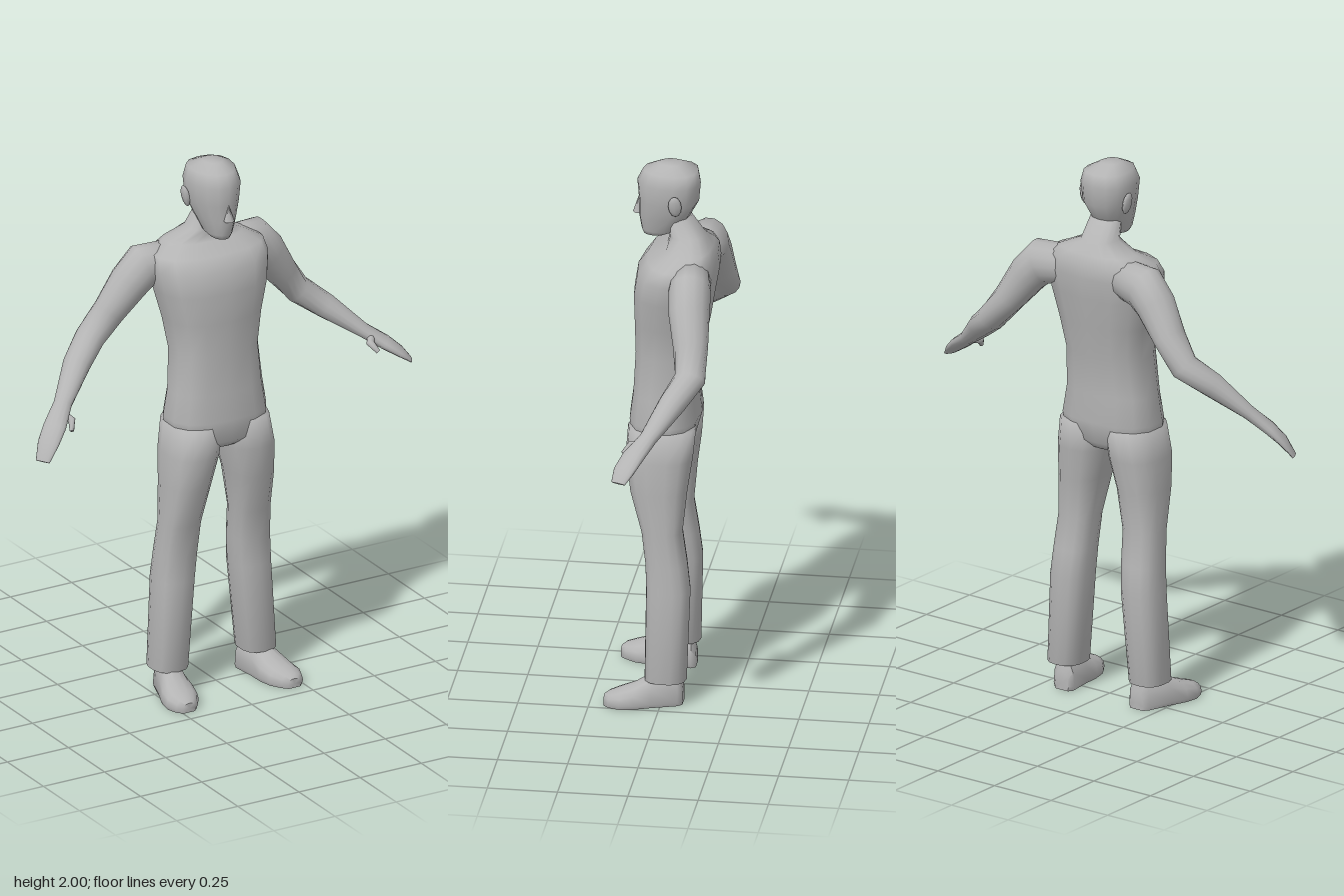
import * as THREE from 'three';
import { toCreasedNormals } from 'three/addons/utils/BufferGeometryUtils.js';

const SIDES = 14;
const CX = -0.01; // body midline
const V = (x, y, z) => new THREE.Vector3(x, y, z);
const pow = (v, e) => Math.sign(v) * Math.abs(v) ** e;

// Closed skin over a list of rings, each turning counter-clockwise about the direction of travel
function skin(rings) {
  const n = rings[0].length, pos = [], idx = [];
  rings.forEach(r => r.forEach(p => pos.push(p.x, p.y, p.z)));
  for (let i = 0; i < rings.length - 1; i++) {
    for (let j = 0; j < n; j++) {
      const a = i * n + j, b = i * n + (j + 1) % n;
      idx.push(a, b, b + n, a, b + n, a + n);
    }
  }
  [0, rings.length - 1].forEach((k, end) => {
    const c = V(0, 0, 0);
    rings[k].forEach(p => c.addScaledVector(p, 1 / n));
    const ci = pos.length / 3;
    pos.push(c.x, c.y, c.z);
    for (let j = 0; j < n; j++) {
      const a = k * n + j, b = k * n + (j + 1) % n;
      if (end) idx.push(ci, a, b); else idx.push(ci, b, a);
    }
  });
  const g = new THREE.BufferGeometry();
  g.setAttribute('position', new THREE.Float32BufferAttribute(pos, 3));
  g.setIndex(idx);
  g.computeVertexNormals();
  return g;
}

const angles = Array.from({ length: SIDES }, (_, j) => (j / SIDES) * Math.PI * 2);

// Level ring: height, centre x, half width, front z, back z, squareness, narrowing to the front
function levelRing(y, cx, hw, zf, zb, e = 0.8, narrow = 0) {
  return angles.map(t => V(
    CX + cx + hw * pow(Math.sin(t), e) * (1 - narrow * Math.cos(t)),
    y,
    (zf + zb) / 2 + (zf - zb) / 2 * pow(Math.cos(t), e)));
}

// Limb along a path of [x, y, z, half width, half thickness]
function limb(path, s) {
  const pts = path.map(p => V(CX + s * p[0], p[1], p[2]));
  return skin(path.map((p, i) => {
    const d = pts[Math.min(i + 1, pts.length - 1)].clone().sub(pts[Math.max(i - 1, 0)]).normalize();
    const b = d.clone().cross(V(0, 1, 0)).normalize();
    const n = d.clone().cross(b);
    return angles.map(t => pts[i].clone()
      .addScaledVector(b, p[3] * Math.cos(t))
      .addScaledVector(n, p[4] * Math.sin(t)));
  }));
}

export function createModel() {
  const grey = new THREE.MeshStandardMaterial({ color: 0xb4b4b4 });
  grey.name = 'plain grey';
  const model = new THREE.Group();
  model.name = 'figure';
  const add = (name, geo) => {
    const m = new THREE.Mesh(geo, grey);
    m.name = name;
    model.add(m);
    return m;
  };

  // Torso and neck: height, half width, front z, back z
  add('torso', skin([
    [0.94, 0.09, 0.10, -0.07],
    [0.97, 0.185, 0.13, -0.098],
    [1.05, 0.192, 0.135, -0.12],
    [1.15, 0.177, 0.122, -0.107],
    [1.30, 0.164, 0.115, -0.125],
    [1.42, 0.183, 0.118, -0.15],
    [1.53, 0.212, 0.12, -0.168],
    [1.61, 0.225, 0.107, -0.182],
    [1.66, 0.215, 0.07, -0.175],
    [1.692, 0.15, 0.005, -0.16],
    [1.73, 0.066, -0.005, -0.13],
    [1.80, 0.058, 0.01, -0.08],
  ].map(([y, hw, zf, zb]) => levelRing(y, 0, hw, zf, zb))));

  // Head: same columns
  add('head', skin([
    [1.728, 0.032, 0.088, 0.01],
    [1.745, 0.047, 0.096, -0.03],
    [1.80, 0.066, 0.106, -0.075],
    [1.86, 0.087, 0.106, -0.108],
    [1.93, 0.094, 0.112, -0.114],
    [1.975, 0.08, 0.09, -0.106],
    [2.0, 0.035, 0.035, -0.045],
  ].map(([y, hw, zf, zb]) => levelRing(y, 0, hw, zf, zb, 0.9, 0.15))));

  const nose = add('nose', new THREE.ConeGeometry(0.02, 0.06, 6));
  nose.position.set(CX, 1.835, 0.107);

  for (const s of [1, -1]) {
    const side = s > 0 ? 'left' : 'right';

    const ear = add(side + 'Ear', new THREE.SphereGeometry(1, 8, 6));
    ear.scale.set(0.012, 0.042, 0.024);
    ear.position.set(CX + s * 0.094, 1.87, -0.035);
    ear.rotation.z = -s * 0.2;

    // Trouser leg: height, centre x, half width, front z, back z
    add(side + 'Leg', skin([
      [0.095, 0.18, 0.067, 0.06, -0.09],
      [0.43, 0.156, 0.073, 0.058, -0.10],
      [0.53, 0.149, 0.073, 0.062, -0.088],
      [0.65, 0.142, 0.072, 0.077, -0.07],
      [0.80, 0.129, 0.082, 0.12, -0.085],
      [0.92, 0.112, 0.096, 0.137, -0.102],
      [1.03, 0.098, 0.092, 0.13, -0.112],
    ].map(([y, cx, hw, zf, zb]) => levelRing(y, s * cx, hw, zf, zb))));

    // Shoe with flat sole: z, centre x, half width, height
    const shoe = skin([
      [-0.076, 0.165, 0.03, 0.07],
      [-0.06, 0.167, 0.045, 0.115],
      [0.03, 0.187, 0.056, 0.115],
      [0.09, 0.20, 0.068, 0.08],
      [0.14, 0.209, 0.066, 0.062],
      [0.18, 0.215, 0.045, 0.048],
      [0.198, 0.215, 0.025, 0.035],
    ].map(([z, cx, hw, h]) => angles.map(t => V(
      CX + s * cx + hw * Math.cos(t),
      Math.sin(t) > 0.01 ? 0.015 + (h - 0.015) * Math.sin(t) ** 0.8 : Math.sin(t) < -0.01 ? 0 : 0.015,
      z))));
    add(side + 'Shoe', toCreasedNormals(shoe, 0.9));

    // Arm and hand; the right hand hangs a little lower
    const hand = s > 0 ? [
      [0.62, 1.205, -0.015, 0.034, 0.025],
      [0.685, 1.16, 0.03, 0.044, 0.022],
      [0.73, 1.125, 0.055, 0.042, 0.016],
      [0.765, 1.092, 0.07, 0.028, 0.006],
    ] : [
      [0.61, 1.195, -0.01, 0.034, 0.025],
      [0.67, 1.135, 0.035, 0.044, 0.022],
      [0.71, 1.09, 0.06, 0.042, 0.016],
      [0.745, 1.035, 0.08, 0.028, 0.006],
    ];
    add(side + 'Arm', limb([
      [0.13, 1.615, -0.095, 0.07, 0.07],
      [0.225, 1.605, -0.107, 0.075, 0.083],
      [0.28, 1.55, -0.112, 0.073, 0.072],
      [0.352, 1.45, -0.128, 0.062, 0.057],
      [0.425, 1.36, -0.137, 0.057, 0.05],
      [0.51, 1.295, -0.085, 0.05, 0.044],
      ...hand,
    ], s));

    // Thumb
    add(side + 'Thumb', limb(s > 0 ? [
      [0.64, 1.19, 0.01, 0.016, 0.016],
      [0.615, 1.178, 0.045, 0.014, 0.014],
      [0.632, 1.15, 0.072, 0.008, 0.008],
    ] : [
      [0.63, 1.17, 0.015, 0.016, 0.016],
      [0.605, 1.15, 0.045, 0.014, 0.014],
      [0.62, 1.122, 0.07, 0.008, 0.008],
    ], s));
  }
  return model;
}
